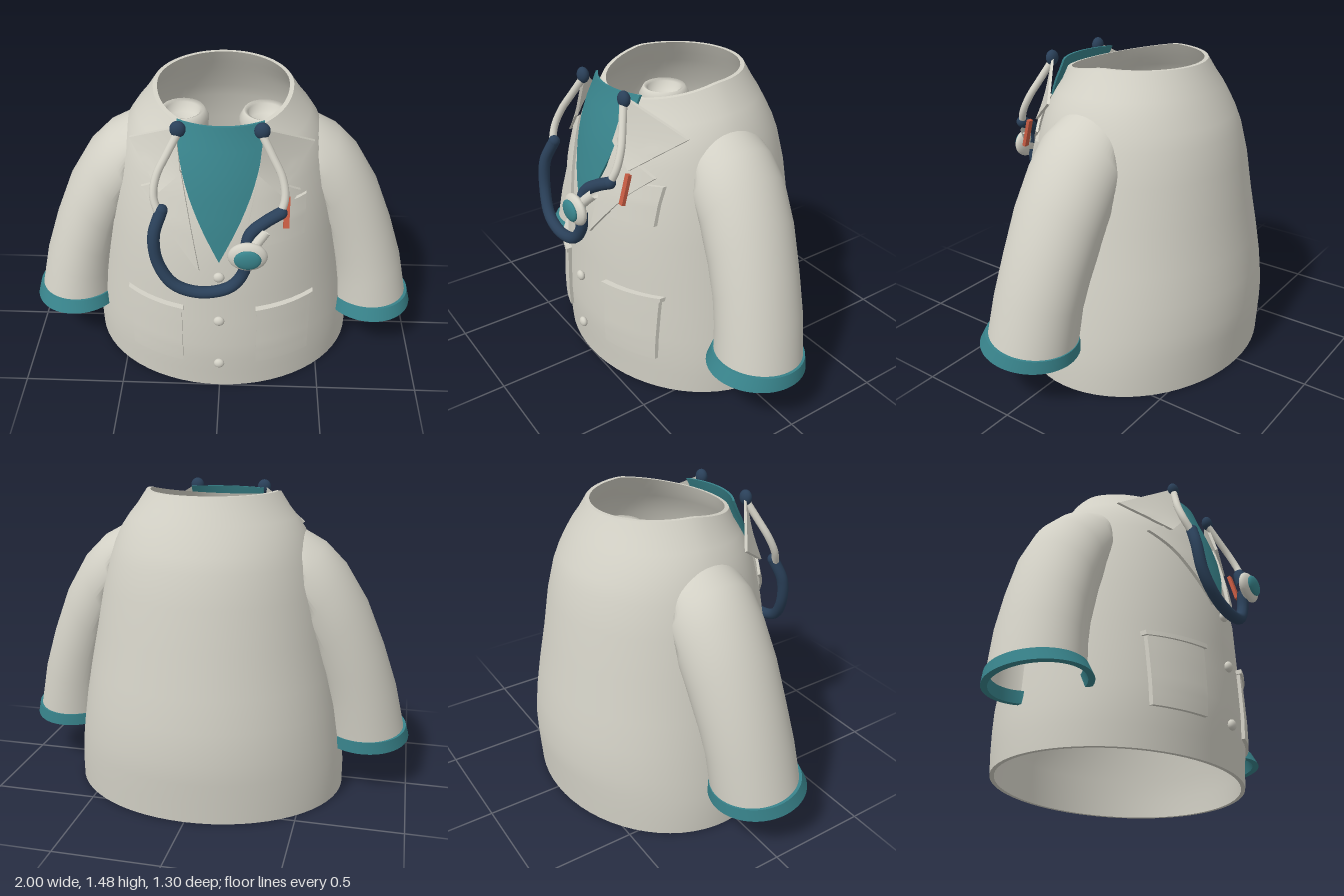
import * as THREE from 'three';
import { toCreasedNormals } from 'three/addons/utils/BufferGeometryUtils.js';

const SEG = 64;
const V = (x, y, z) => new THREE.Vector3(x, y, z);

// Coat profile: height, half width, front z, back z
const PROFILE = [
  [0, 0.68, 0.5, -0.63], [0.1, 0.68, 0.507, -0.637], [0.2, 0.673, 0.517, -0.645],
  [0.3, 0.66, 0.52, -0.65], [0.45, 0.64, 0.515, -0.637], [0.6, 0.615, 0.508, -0.615],
  [0.8, 0.58, 0.502, -0.58], [1.0, 0.545, 0.47, -0.55], [1.15, 0.505, 0.435, -0.515],
  [1.22, 0.48, 0.415, -0.488], [1.29, 0.45, 0.39, -0.452], [1.35, 0.41, 0.367, -0.422],
  [1.4, 0.37, 0.345, -0.392], [1.47, 0.325, 0.325, -0.355],
];

function section(y) {
  const i = Math.max(1, PROFILE.findIndex((r) => r[0] >= y));
  const a = PROFILE[i - 1], b = PROFILE[i];
  const t = THREE.MathUtils.clamp((y - a[0]) / (b[0] - a[0]), 0, 1);
  const [w, f, k] = [1, 2, 3].map((n) => a[n] + (b[n] - a[n]) * t);
  return { w, c: (f + k) / 2, h: (f - k) / 2 };
}
const arc = (t) => Math.sqrt(Math.max(0, 1 - t * t));
function frontZ(x, y) {
  const s = section(y);
  return s.c + s.h * arc(x / s.w);
}
function sideX(y, z) {
  const s = section(y);
  return s.w * arc((z - s.c) / s.h);
}

// Skin over rings listed bottom to top
function loft(rings, closed = false) {
  const n = rings[0].length, index = [];
  const rows = closed ? rings.length : rings.length - 1;
  for (let i = 0; i < rows; i++) {
    const p = i * n, q = ((i + 1) % rings.length) * n;
    for (let j = 0; j < n; j++) {
      const k = (j + 1) % n;
      index.push(p + j, p + k, q + k, p + j, q + k, q + j);
    }
  }
  const geo = new THREE.BufferGeometry().setFromPoints(rings.flat());
  geo.setIndex(index);
  geo.computeVertexNormals();
  return geo;
}
const ring = (fn) => Array.from({ length: SEG }, (_, j) => {
  const a = (j / SEG) * Math.PI * 2;
  return fn(Math.sin(a), Math.cos(a));
});

// Thin plate following the coat front; map(u, v) gives x, y and optionally z
function plate(map, off, depth) {
  const geo = new THREE.BoxGeometry(1, 1, 1, 12, 12, 1);
  const p = geo.attributes.position;
  for (let i = 0; i < p.count; i++) {
    const [x, y, z = -9] = map(p.getX(i) + 0.5, p.getY(i) + 0.5);
    p.setXYZ(i, x, y, Math.max(frontZ(x, y), z) + off + p.getZ(i) * depth);
  }
  geo.computeVertexNormals();
  return geo;
}
// Corners: bottom left, bottom right, top right, top left
const quad = (a, b, c, d) => (u, v) => a.map((_, k) =>
  (a[k] * (1 - u) + b[k] * u) * (1 - v) + (d[k] * (1 - u) + c[k] * u) * v);
const rect = (x0, y0, x1, y1) => quad([x0, y0], [x1, y0], [x1, y1], [x0, y1]);

function mirrored(geo) {
  const g = geo.clone().applyMatrix4(new THREE.Matrix4().makeScale(-1, 1, 1));
  if (!g.index) g.setIndex([...Array(g.attributes.position.count).keys()]);
  const a = g.index.array;
  for (let i = 0; i < a.length; i += 3) [a[i], a[i + 1]] = [a[i + 1], a[i]];
  return g;
}

function ellipsoid(x, y, z, rx, ry, rz) {
  return new THREE.SphereGeometry(1, 24, 16).scale(rx, ry, rz).translate(x, y, z);
}
function tube(points, r) {
  const curve = new THREE.CatmullRomCurve3(points.map((p) => V(...p)));
  return new THREE.TubeGeometry(curve, 48, r, 12);
}

export function createModel() {
  const model = new THREE.Group();
  const mat = (name, color, side = THREE.FrontSide) => {
    const m = new THREE.MeshStandardMaterial({ color, side });
    m.name = name;
    return m;
  };
  const coat = mat('coat cream', 0xd3d1c6, THREE.DoubleSide);
  const teal = mat('teal', 0x38838b);
  const navy = mat('navy', 0x2a4059);
  const red = mat('red', 0xc85c43);
  const add = (name, geo, material) => {
    const mesh = new THREE.Mesh(geo, material);
    mesh.name = name;
    model.add(mesh);
    return mesh;
  };
  const pair = (name, geo, material) => {
    add(name + 'Left', geo, material);
    add(name + 'Right', mirrored(geo), material);
  };

  // Coat body: hollow shell with the neck edge dipping at the front
  const bodyRing = (y, inset) => {
    const { w, c, h } = section(y);
    return ring((s, k) => {
      const z = c + (h - inset) * k;
      const dip = 0.07 * Math.max(0, (z + 0.03) / 0.36) * Math.max(0, (y - 1.2) / 0.27);
      return V((w - inset) * s, y - dip, z);
    });
  };
  const ys = PROFILE.map((r) => r[0]);
  const shell = loft([...ys.map((y) => bodyRing(y, 0)),
    ...[...ys].reverse().map((y) => bodyRing(y, 0.02))], true);
  add('coatBody', toCreasedNormals(shell, 0.8), coat);

  // Sleeves: outer x, y, inner x, y, front z, back z; trimmed where they meet the body
  const sleeveRing = ([ox, oy, ix, iy, zf, zb], tilt = 0) => ring((s, k) => {
    const x = (ox + ix) / 2 + s * (ox - ix) / 2;
    const y = (oy + iy) / 2 + s * (oy - iy) / 2 + tilt * k;
    const z = (zf + zb) / 2 + k * (zf - zb) / 2;
    return V(Math.max(x, sideX(y, z) - 0.012), y, z);
  });
  const sleeve = [
    [0.972, 0.29, 0.565, 0.29, 0.245, -0.185], [0.92, 0.52, 0.555, 0.42, 0.23, -0.2],
    [0.85, 0.73, 0.53, 0.52, 0.215, -0.215], [0.76, 0.95, 0.49, 0.64, 0.207, -0.235],
    [0.65, 1.13, 0.44, 0.76, 0.2, -0.25], [0.55, 1.23, 0.38, 0.85, 0.2, -0.25],
    [0.45, 1.285, 0.3, 0.93, 0.18, -0.23], [0.34, 1.29, 0.25, 0.98, 0.15, -0.2],
  ];
  pair('sleeve', loft(sleeve.map((r, i) => sleeveRing(r, i ? 0 : 0.02))), coat);
  const cuff = [
    [0.998, 0.245, 0.55, 0.25, 0.287, -0.195], [0.982, 0.305, 0.56, 0.31, 0.255, -0.192],
    [0.955, 0.305, 0.58, 0.31, 0.225, -0.17], [0.965, 0.245, 0.575, 0.25, 0.255, -0.17],
  ];
  pair('cuff', toCreasedNormals(loft(cuff.map((r) => sleeveRing(r, 0.02)), true), 0.7), teal);

  // Gathered sleeve ends inside the shoulders
  const cup = [[0, -0.13], [0.06, -0.12], [0.12, -0.06], [0.127, 0.02], [0.105, 0.06],
    [0.085, 0.05], [0.075, 0], [0, -0.01]].map((p) => new THREE.Vector2(...p));
  pair('sleeveLining', new THREE.LatheGeometry(cup, 32).translate(0.2, 1.22, -0.1), coat);
  for (const [x, y, z, r] of [[0.23, 1.18, 0.05, 0.07], [0.2, 1.15, 0.11, 0.055]])
    pair('liningFold', ellipsoid(x, y, z, r, r, r), coat);

  // Shirt panel in the V neck
  add('shirtPanel', plate((u, v) => {
    const half = 0.19 * Math.sin(v * Math.PI / 2) + 0.001;
    return [(2 * u - 1) * half, 0.83 + 0.61 * v];
  }, 0.012, 0.012), teal);

  // Collar and lapels
  pair('collar', plate(quad([0.17, 1.25, 0.4], [0.27, 1.14, 0.385], [0.42, 1.29, 0.17],
    [0.19, 1.44, 0.335]), 0.02, 0.016), coat);
  pair('lapel', plate(quad([0.09, 0.78], [0.28, 1.03], [0.36, 1.115], [0.17, 1.25]),
    0.02, 0.016), coat);

  // Pockets, buttons and pen
  pair('pocket', plate(rect(0.18, 0.19, 0.44, 0.52), 0.005, 0.026), coat);
  pair('pocketFlap', plate(rect(0.172, 0.518, 0.45, 0.54), 0.01, 0.04), coat);
  add('breastPocket', plate(rect(0.2, 0.895, 0.39, 1.08), 0.006, 0.026), coat);
  for (const [y, z] of [[0.2, 0.538], [0.485, 0.536], [0.75, 0.525]])
    add('button', ellipsoid(0, y, z, 0.026, 0.026, 0.018), coat);
  const pen = add('pen', new THREE.BoxGeometry(0.027, 0.145, 0.018), red);
  pen.position.set(0.298, 1.07, 0.445);
  pen.rotation.x = -0.27;

  // Stethoscope
  pair('earTip', ellipsoid(0.18, 1.437, 0.367, 0.035, 0.038, 0.027), navy);
  pair('earTube', tube([[0.18, 1.42, 0.37], [0.225, 1.34, 0.405], [0.272, 1.25, 0.445],
    [0.285, 1.17, 0.48], [0.262, 1.09, 0.512]], 0.018), coat);
  add('hoseLong', tube([[-0.25, 1.11, 0.505], [-0.285, 1.0, 0.545], [-0.27, 0.86, 0.565],
    [-0.2, 0.755, 0.585], [-0.08, 0.717, 0.592], [0.05, 0.745, 0.585],
    [0.11, 0.82, 0.575], [0.125, 0.92, 0.575]], 0.028), navy);
  add('hoseShort', tube([[0.27, 1.11, 0.505], [0.2, 1.075, 0.53], [0.14, 1.03, 0.555],
    [0.12, 0.96, 0.575]], 0.028), navy);
  for (const [x, y, z] of [[-0.25, 1.11, 0.505], [0.27, 1.11, 0.505]])
    add('hoseEnd', ellipsoid(x, y, z, 0.028, 0.028, 0.028), navy);
  add('chestStem', tube([[0.205, 1.04, 0.55], [0.17, 1.0, 0.575], [0.13, 0.95, 0.6]], 0.024), coat);
  add('chestPiece', ellipsoid(0.13, 0.945, 0.607, 0.088, 0.074, 0.032), coat);
  add('chestDiaphragm', ellipsoid(0.13, 0.947, 0.636, 0.06, 0.05, 0.018), teal);

  return model;
}
